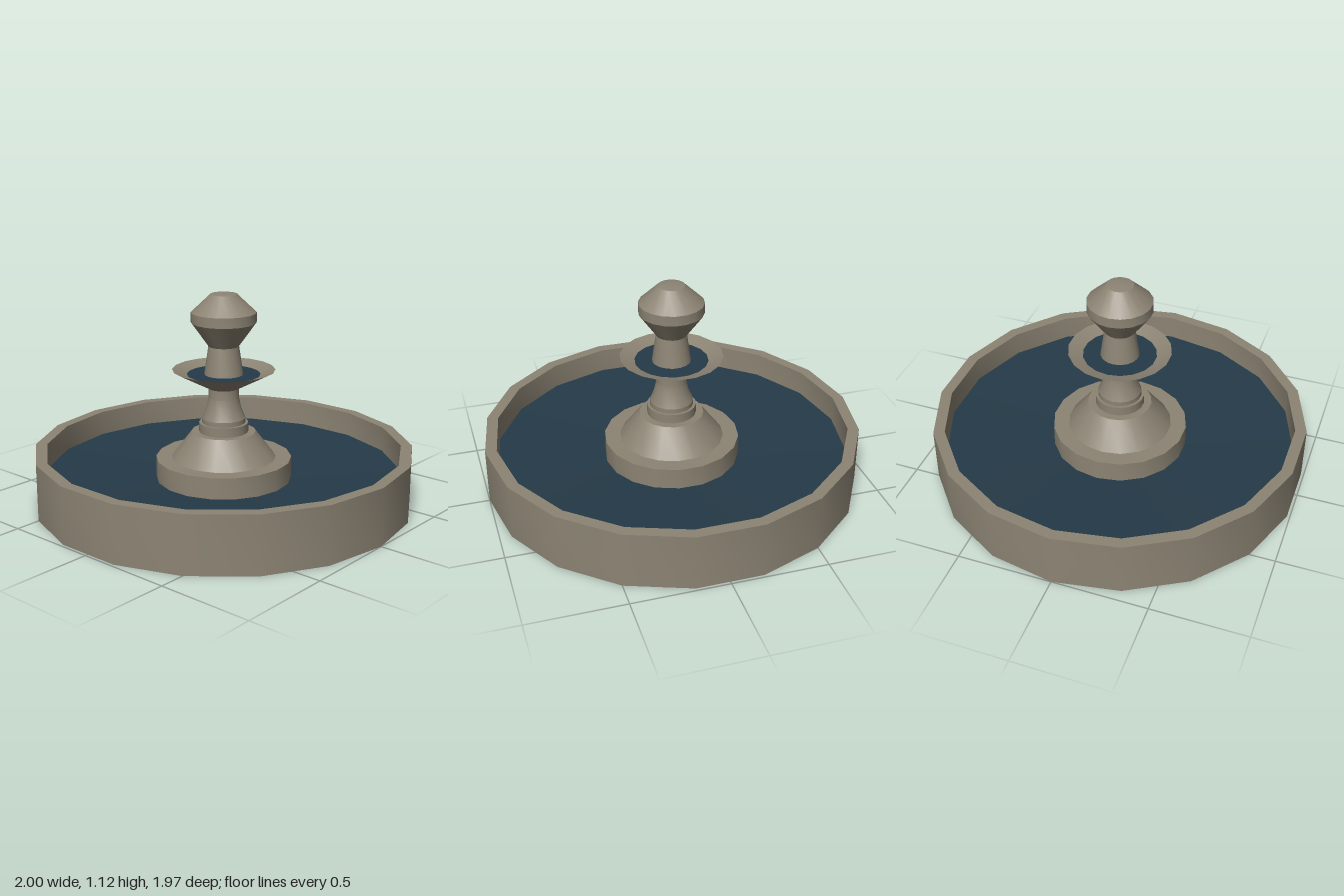
import * as THREE from 'three';
import { toCreasedNormals } from 'three/addons/utils/BufferGeometryUtils.js';

const SIDES = 18;
const stone = new THREE.MeshStandardMaterial({ color: 0x8c8474, side: THREE.DoubleSide });
const water = new THREE.MeshStandardMaterial({ color: 0x253a48, side: THREE.DoubleSide });

// Turns a [radius, height] profile around y, smooth around and creased across rings.
function turned(name, profile, material) {
  const points = profile.map(([r, y]) => new THREE.Vector2(r, y));
  const lathe = new THREE.LatheGeometry(points, SIDES, Math.PI / 2);
  const mesh = new THREE.Mesh(toCreasedNormals(lathe, 0.38), material);
  mesh.name = name;
  return mesh;
}

export function createModel() {
  const fountain = new THREE.Group();
  fountain.name = 'fountain';

  fountain.add(
    // Outer wall, open underneath, with a flat rim and an inner face down to the water
    turned('basinWall', [[1, 0], [1, 0.3], [0.94, 0.3], [0.94, 0.165]], stone),

    // Pool surface, dipping slightly toward the middle
    turned('poolWater', [[0.94, 0.165], [0.36, 0.127]], water),

    // Hollow plinth with a sloping shoulder and a collar
    turned('plinth', [
      [0.36, 0.127], [0.36, 0.24], [0.277, 0.24], [0.17, 0.38], [0.13, 0.38],
      [0.13, 0.43], [0.115, 0.43],
    ], stone),

    // Waisted stem below the bowl
    turned('stem', [
      [0.115, 0.43], [0.115, 0.455], [0.092, 0.51], [0.08, 0.565], [0.08, 0.615],
    ], stone),

    // Upper bowl: flared underside and sloping inner lip
    turned('upperBowl', [[0.08, 0.615], [0.27, 0.715], [0.193, 0.69]], stone),
    turned('bowlWater', [[0.193, 0.69], [0.1, 0.69]], water),

    // Tapered neck
    turned('neck', [[0.102, 0.69], [0.08, 0.84]], stone),

    // Bulb with a domed cap
    turned('finial', [
      [0.08, 0.84], [0.17, 0.965], [0.17, 1.018], [0.07, 1.112], [0, 1.125],
    ], stone),
  );

  return fountain;
}
